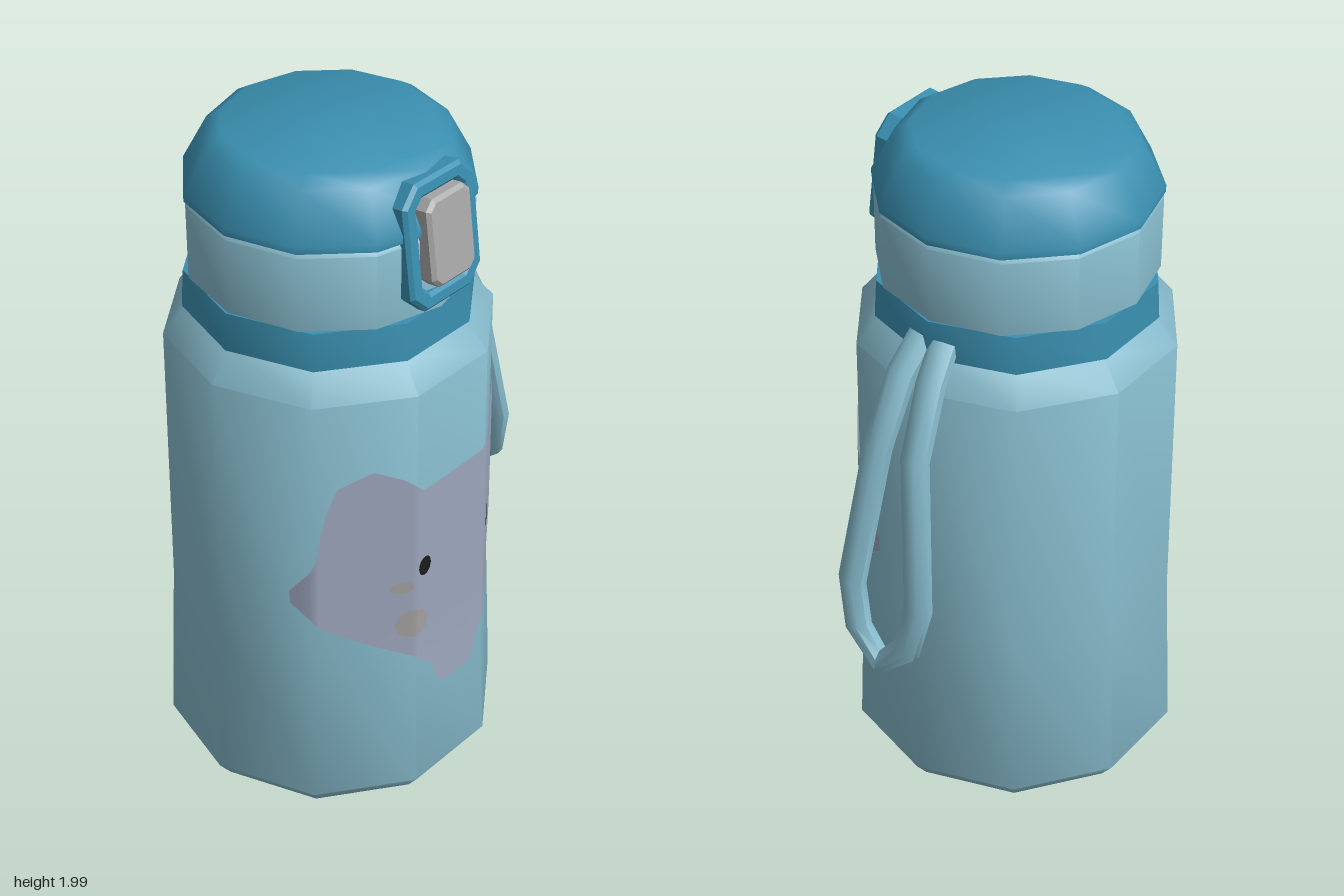
import * as THREE from 'three';
import { toCreasedNormals } from 'three/addons/utils/BufferGeometryUtils.js';

const CX = -0.09; // bottle axis
const mat = (name, color, side = THREE.FrontSide) => {
  const m = new THREE.MeshStandardMaterial({ color, side });
  m.name = name;
  return m;
};

// Linear interpolation through [key, value] pairs
function lerpTable(table, k) {
  for (let i = 1; i < table.length; i++) {
    const [a, va] = table[i - 1], [b, vb] = table[i];
    if (k <= b) return va + (vb - va) * Math.max(0, (k - a) / (b - a));
  }
  return table[table.length - 1][1];
}

const WALL = [[0.08, 0.487], [0.6, 0.463], [1.41, 0.456]]; // height, radius

// Depth of the ten-sided wall at a front position
function wallZ(x, y, lift) {
  const a = lerpTable(WALL, y) * Math.cos(Math.PI / 10) + lift;
  const dx = Math.abs(x - CX);
  return Math.min(...[0, 0.2, 0.4].map(f => (a - dx * Math.sin(f * Math.PI)) / Math.cos(f * Math.PI)));
}

// Painted patch between a lower and an upper outline, wrapped on the wall
function decal(top, bottom, lift, cols, rows) {
  const pos = [], index = [];
  const x0 = top[0][0], x1 = top[top.length - 1][0];
  for (let i = 0; i <= cols; i++) {
    const x = x0 + (x1 - x0) * i / cols;
    const lo = lerpTable(bottom, x), hi = lerpTable(top, x);
    for (let j = 0; j <= rows; j++) {
      const y = lo + (hi - lo) * j / rows;
      pos.push(x, y, wallZ(x, y, lift));
      if (i < cols && j < rows) {
        const a = i * (rows + 1) + j, b = a + rows + 1;
        index.push(a, b, a + 1, b, b + 1, a + 1);
      }
    }
  }
  const g = new THREE.BufferGeometry();
  g.setAttribute('position', new THREE.Float32BufferAttribute(pos, 3));
  g.setIndex(index);
  g.computeVertexNormals();
  return g;
}

function spot(x, y, rx, ry) {
  const half = s => Array.from({ length: 9 }, (_, i) => {
    const t = Math.PI * (1 - i / 8);
    return [x + rx * Math.cos(t), y + s * ry * Math.sin(t)];
  });
  return decal(half(1), half(-1), 0.009, 12, 2);
}

// Turned part with a given number of sides
function turned(points, sides) {
  const g = new THREE.LatheGeometry(points.map(p => new THREE.Vector2(...p)), sides, Math.PI / 2);
  return toCreasedNormals(g, 0.7).translate(CX, 0, 0);
}

// Rectangle with cut corners
function cutRect(w, h, c, Type = THREE.Shape) {
  return new Type([[-w + c, -h], [w - c, -h], [w, -h + c], [w, h - c], [w - c, h], [-w + c, h], [-w, h - c], [-w, -h + c]]
    .map(p => new THREE.Vector2(...p)));
}

// Flat strap swept along a path, eight-sided section
function strap(path) {
  const N = 8, pos = [], index = [];
  path.forEach((p, i) => {
    const prev = path[Math.max(0, i - 1)], next = path[Math.min(path.length - 1, i + 1)];
    const t = next.clone().sub(prev).normalize();
    const n = p.y > 1.3 ? new THREE.Vector3(0.88, 0.47, 0) : new THREE.Vector3(0.98, 0.17, 0);
    n.addScaledVector(t, -n.dot(t)).normalize();
    const w = new THREE.Vector3().crossVectors(t, n);
    for (let k = 0; k < N; k++) {
      const a = (k + 0.5) / N * Math.PI * 2;
      const v = p.clone().addScaledVector(n, 0.032 * Math.cos(a)).addScaledVector(w, 0.043 * Math.sin(a));
      pos.push(v.x, v.y, v.z);
      if (i < path.length - 1) {
        const q = i * N + k, r = i * N + (k + 1) % N;
        index.push(q, q + N, r, r, q + N, r + N);
      }
    }
  });
  const last = (path.length - 1) * N;
  for (let k = 1; k < N - 1; k++) {
    index.push(0, k, k + 1, last, last + k + 1, last + k);
  }
  const g = new THREE.BufferGeometry();
  g.setAttribute('position', new THREE.Float32BufferAttribute(pos, 3));
  g.setIndex(index);
  return toCreasedNormals(g, 0.7);
}

export function createModel() {
  const model = new THREE.Group();
  model.name = 'bottle';
  const pale = mat('paleBlue', 0x86bacb);
  const strapBlue = mat('strapBlue', 0x86bacb, THREE.DoubleSide);
  const teal = mat('teal', 0x3a8fb0);
  const grey = mat('buttonGrey', 0xa9a9a9);
  const lilac = mat('faceLilac', 0x9ba5bb, THREE.DoubleSide);
  const black = mat('eyeBlack', 0x1b1b1b, THREE.DoubleSide);
  const tan = mat('cheekTan', 0xa39f9f, THREE.DoubleSide);
  const pink = mat('ringPink', 0x93909f, THREE.DoubleSide);

  const add = (name, geometry, material, parent = model) => {
    const m = new THREE.Mesh(geometry, material);
    m.name = name;
    parent.add(m);
    return m;
  };

  // Bottle and cap
  add('body', turned([[0, 0.01], [0.445, 0.025], ...WALL.map(([y, r]) => [r, y]), [0.39, 1.49], [0, 1.49]], 10), pale);
  add('collar', turned([[0.3, 1.488], [0.402, 1.49], [0.395, 1.6], [0, 1.602]], 10), teal);
  add('capBand', turned([[0.3, 1.6], [0.388, 1.6], [0.388, 1.815], [0.375, 1.83], [0, 1.83]], 12), pale);
  add('lid', turned([[0.3, 1.828], [0.392, 1.83], [0.392, 1.85], [0.325, 1.975], [0.285, 2], [0, 2]], 12), teal);
  add('baseRing', turned([[0.328, 0.018], [0.34, 0.0185]], 10), pink);

  // Latch on the cap front, leaning back
  const latch = new THREE.Group();
  latch.name = 'latch';
  latch.position.set(-0.075, 1.79, 0.325);
  latch.rotation.x = -0.13;
  model.add(latch);
  const frame = cutRect(0.128, 0.168, 0.045);
  frame.holes.push(cutRect(0.1, 0.142, 0.03, THREE.Path));
  const bevel = { bevelThickness: 0.01, bevelSize: 0.01, bevelSegments: 1 };
  add('latchFrame', new THREE.ExtrudeGeometry(frame, { depth: 0.045, ...bevel }), teal, latch);
  add('latchPlate', new THREE.ExtrudeGeometry(cutRect(0.12, 0.16, 0.04), { depth: 0.03, bevelEnabled: false }), teal, latch);
  add('latchButton', new THREE.ExtrudeGeometry(cutRect(0.074, 0.113, 0.02), { depth: 0.075, ...bevel }), grey, latch)
    .position.y = 0.01;

  // Carry strap: one side mirrored to close the loop
  const side = [[0.28, 1.53, 0.035], [0.355, 1.45, 0.048], [0.447, 1.26, 0.062], [0.515, 0.82, 0.115], [0.532, 0.68, 0.085]]
    .map(p => new THREE.Vector3(...p));
  const back = side.map(p => new THREE.Vector3(p.x, p.y, -p.z)).reverse();
  add('strap', strap([...side, new THREE.Vector3(0.542, 0.598, 0), ...back]), strapBlue);

  // Painted animal face
  const top = [[-0.49, 0.8], [-0.46, 0.92], [-0.44, 1.06], [-0.41, 1.15], [-0.33, 1.19], [-0.26, 1.15], [-0.21, 1.1],
    [0.03, 1.1], [0.1, 1.16], [0.19, 1.19], [0.26, 1.16], [0.285, 1.06], [0.3, 0.95], [0.32, 0.8]];
  const bottom = [[-0.49, 0.76], [-0.46, 0.69], [-0.34, 0.6], [-0.24, 0.54], [-0.17, 0.47], [-0.14, 0.385],
    [0, 0.38], [0.02, 0.45], [0.05, 0.51], [0.16, 0.57], [0.29, 0.7], [0.32, 0.76]];
  add('face', decal(top, bottom, 0.006, 90, 12), lilac);
  for (const x of [-0.205, 0.08]) add('eye', spot(x, 0.845, 0.025, 0.031), black);
  for (const x of [-0.24, 0.1]) add('cheek', spot(x, 0.66, 0.048, 0.048), tan);
  for (const x of [-0.27, 0.135]) add('cheekMark', spot(x, 0.79, 0.028, 0.02), tan);
  return model;
}
